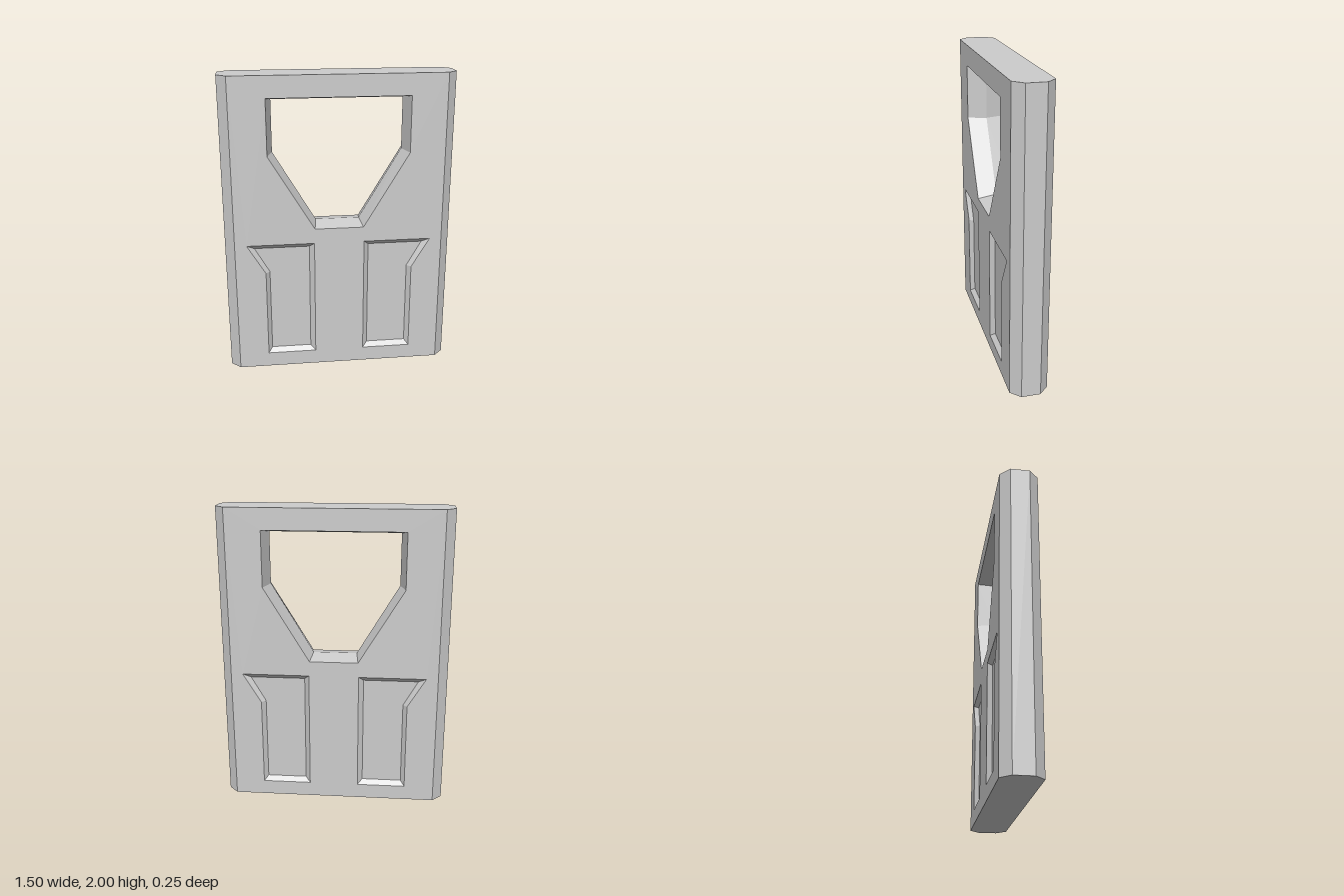
import * as THREE from 'three';

const W = 0.75, H = 2, D = 0.125, CHAMFER = 0.0625, RECESS = 0.03;

// Outlines run counter-clockwise seen from the front
const windowOuter = [[-0.16, 1.0], [0.16, 1.0], [0.457, 1.495], [0.457, 1.86], [-0.457, 1.86], [-0.457, 1.495]];
const windowInner = [[-0.145, 1.027], [0.145, 1.027], [0.422, 1.495], [0.422, 1.835], [-0.422, 1.835], [-0.422, 1.495]];
const panelOuter = [[0.165, 0.1], [0.49, 0.1], [0.49, 0.7], [0.61, 0.9], [0.165, 0.9]];
const panelInner = [[0.197, 0.13], [0.463, 0.13], [0.463, 0.7], [0.56, 0.87], [0.197, 0.87]];

const mirror = (pts) => pts.map(([x, y]) => [-x, y]).reverse();
const toV2 = (pts) => pts.map(([x, y]) => new THREE.Vector2(x, y));
const atZ = (pts, z) => pts.map(([x, y]) => [x, y, z]);

// Flat strip of quads between two matching rows of points
function strip(a, b, closed) {
  const pos = [];
  const count = closed ? a.length : a.length - 1;
  for (let i = 0; i < count; i++) {
    const j = (i + 1) % a.length;
    pos.push(...a[i], ...a[j], ...b[j], ...a[i], ...b[j], ...b[i]);
  }
  const geo = new THREE.BufferGeometry();
  geo.setAttribute('position', new THREE.Float32BufferAttribute(pos, 3));
  geo.computeVertexNormals();
  return geo;
}

export function createModel() {
  const material = new THREE.MeshStandardMaterial({ color: 0xcccccc, flatShading: true });
  const model = new THREE.Group();
  model.name = 'door';

  const add = (parent, name, geo) => {
    const mesh = new THREE.Mesh(geo, material);
    mesh.name = name;
    parent.add(mesh);
    return mesh;
  };

  const half = new THREE.Group();
  half.name = 'doorSide';

  // Broad face with openings for the window and both panels
  const face = new THREE.Shape(toV2([[-W + CHAMFER, 0], [W - CHAMFER, 0], [W - CHAMFER, H], [-W + CHAMFER, H]]));
  for (const outline of [windowOuter, panelOuter, mirror(panelOuter)]) {
    face.holes.push(new THREE.Path(toV2(outline)));
  }
  add(half, 'face', new THREE.ShapeGeometry(face).translate(0, 0, D));

  // Window reveal narrowing to the middle of the door
  add(half, 'windowReveal', strip(atZ(windowOuter, D), atZ(windowInner, 0), true));

  // Sunken panels with sloping borders
  for (const [side, flip] of [['left', (p) => p], ['right', mirror]]) {
    const outer = flip(panelOuter), inner = flip(panelInner);
    add(half, side + 'PanelBorder', strip(atZ(outer, D), atZ(inner, D - RECESS), true));
    add(half, side + 'Panel', new THREE.ShapeGeometry(new THREE.Shape(toV2(inner))).translate(0, 0, D - RECESS));
  }

  // Chamfered long edge, front to back
  const edge = [[W - CHAMFER, D], [W, D - CHAMFER], [W, CHAMFER - D], [W - CHAMFER, -D]];
  const edgeAt = (y) => edge.map(([x, z]) => [x, y, z]);
  add(half, 'chamferedEdge', strip(edgeAt(0), edgeAt(H), false));

  // The other side is the same half turned round
  const back = half.clone();
  back.name = 'doorBackSide';
  back.rotation.y = Math.PI;
  model.add(half, back);

  // Top and bottom ends
  const profile = new THREE.Shape(toV2([...edge, ...edge.map(([x, z]) => [-x, -z])]));
  add(model, 'topEnd', new THREE.ShapeGeometry(profile).rotateX(-Math.PI / 2).translate(0, H, 0));
  add(model, 'bottomEnd', new THREE.ShapeGeometry(profile).rotateX(Math.PI / 2));

  return model;
}
